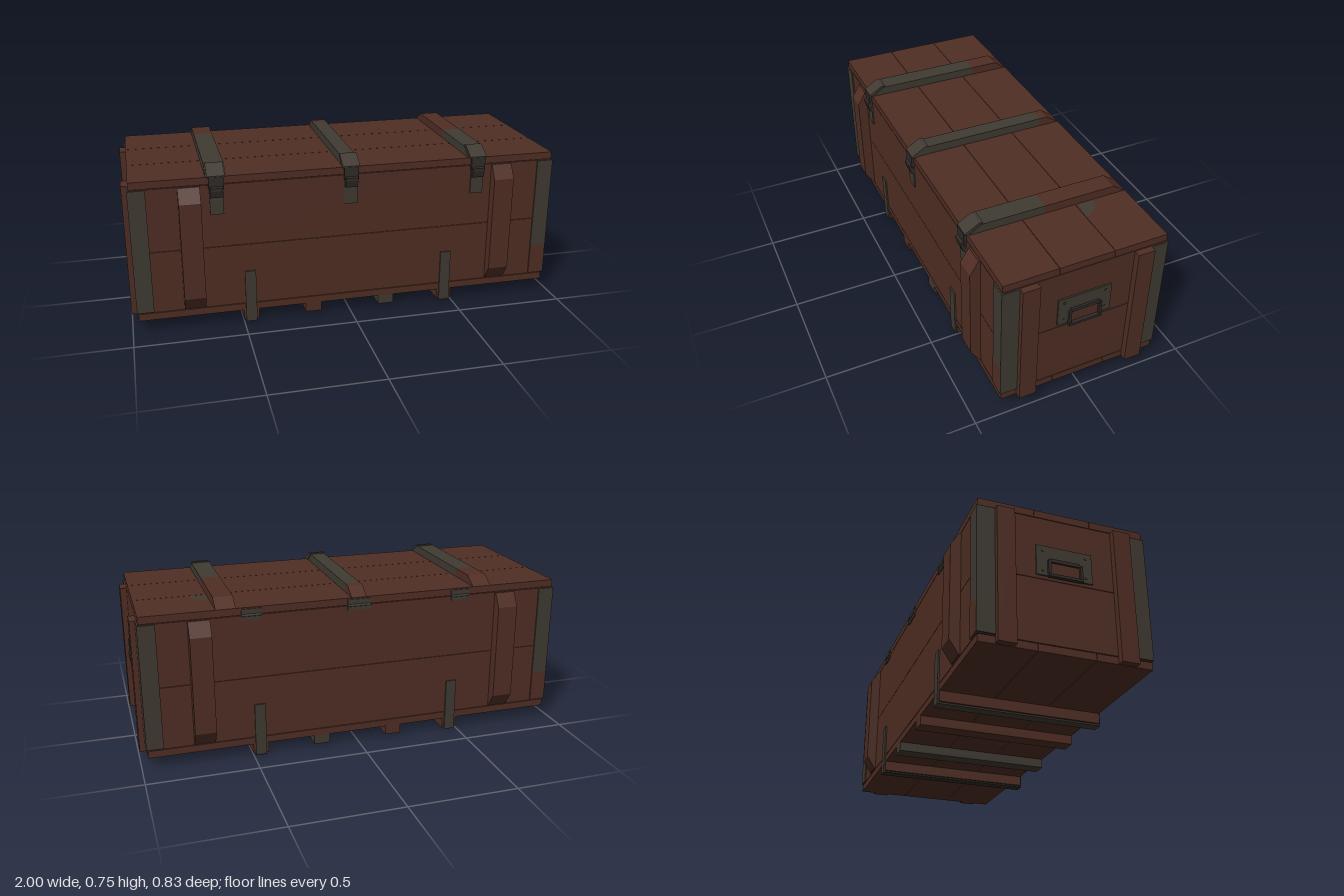
import * as THREE from 'three';

export function createModel() {
  const root = new THREE.Group();
  root.name = 'woodenCrate';
  const mat = (name, color) => {
    const m = new THREE.MeshStandardMaterial({ color });
    m.name = name;
    return m;
  };
  const wood = mat('brownPaintedWood', 0x502e24);
  const metal = mat('greyGreenSteel', 0x403a32);
  const dark = mat('darkSteel', 0x2f2b27);

  const add = (name, geo, m, parent = root) => {
    const mesh = new THREE.Mesh(geo, m);
    mesh.name = name;
    parent.add(mesh);
    return mesh;
  };
  // Box given by its limits on each axis
  const box = (name, m, [x0, x1], [y0, y1], [z0, z1], parent) => {
    const mesh = add(name, new THREE.BoxGeometry(Math.abs(x1 - x0), y1 - y0, Math.abs(z1 - z0)), m, parent);
    mesh.position.set((x0 + x1) / 2, (y0 + y1) / 2, (z0 + z1) / 2);
    return mesh;
  };
  // Profile of [z, y] points, extruded along x and centred at x
  const prism = (name, m, pts, width, x, parent) => {
    const shape = new THREE.Shape(pts.map(([z, y]) => new THREE.Vector2(z, y)));
    const geo = new THREE.ExtrudeGeometry(shape, { depth: width, bevelEnabled: false });
    geo.translate(0, 0, -width / 2).rotateY(-Math.PI / 2);
    const mesh = add(name, geo, m, parent);
    mesh.position.x = x;
    return mesh;
  };

  // Floor and lid, three planks each
  for (const [z0, z1] of [[-0.37, -0.1255], [-0.1235, 0.1235], [0.1255, 0.37]]) {
    box('floorPlank', wood, [-0.97, 0.97], [0.055, 0.088], [z0, z1]);
    box('lidPlank', wood, [-0.97, 0.97], [0.673, 0.706], [z0, z1]);
  }

  // Walls, two planks high, with fine seams
  for (const y of [[0.091, 0.379], [0.381, 0.67]]) {
    for (const s of [-1, 1]) {
      box('longWallPlank', wood, [-0.97, 0.97], y, [s * 0.335, s * 0.37]);
      box('endWallPlank', wood, [s * 0.935, s * 0.97], y, [-0.334, 0.334]);
    }
  }

  for (const sx of [-1, 1]) {
    for (const sz of [-1, 1]) {
      // Steel angle on each corner
      const worn = sx * sz > 0;
      const low = worn ? 0.24 : 0.095;
      box('cornerPlateEnd', metal, [sx * 0.969, sx * 0.976], [0.095, 0.668], [sz * 0.298, sz * 0.376]);
      box('cornerPlateSide', metal, [sx * 0.9, sx * 0.976], [low, 0.668], [sz * 0.369, sz * 0.376]);
      if (worn) box('cornerPlateWorn', wood, [sx * 0.9, sx * 0.976], [0.095, low], [sz * 0.369, sz * 0.376]);
      // Upright cleat on the end wall
      box('endCleat', wood, [sx * 0.97, sx], [0.057, 0.668], [sz * 0.22, sz * 0.298]);
      // Bevelled batten on the long wall
      const side = [[0.37, 0.095], [0.375, 0.095], [0.417, 0.16], [0.417, 0.605], [0.378, 0.668], [0.37, 0.668]];
      prism('wallBatten', wood, side.map(([z, y]) => [z * sz, y]), 0.095, sx * 0.718);
    }
    // Chipped paint on a cleat
    box('cleatWear', metal, [sx * 0.999, sx], [0.27, 0.34], [sx * -0.222, sx * -0.24]);
  }

  // Lid battens, grey paint worn to brown toward the back
  const lidBatten = (x, width, split) => {
    prism('lidBattenFront', metal, [[split, 0.705], [0.37, 0.705], [0.31, 0.745], [split, 0.745]], width, x);
    prism('lidBattenBack', wood, [[-0.37, 0.705], [split, 0.705], [split, 0.745], [-0.31, 0.745]], width, x);
  };
  lidBatten(-0.6, 0.088, -0.18);
  lidBatten(0, 0.07, -0.27);
  lidBatten(0.6, 0.088, 0.02);

  // Patch of bare paint on the lid
  const patch = new THREE.Shape([[0.65, 0.14], [0.74, 0.125], [0.7, 0.19], [0.65, 0.21]].map(p => new THREE.Vector2(...p)));
  add('lidWear', new THREE.ShapeGeometry(patch).rotateX(-Math.PI / 2), metal).position.y = 0.707;

  // Toggle latches on the front
  for (const x of [-0.6, 0, 0.6]) {
    const latch = new THREE.Group();
    latch.name = 'latch';
    latch.position.x = x;
    root.add(latch);
    prism('latchCap', metal, [[0.3, 0.742], [0.35, 0.705], [0.382, 0.705], [0.382, 0.712], [0.318, 0.75], [0.3, 0.75]], 0.078, 0, latch);
    box('latchPlate', metal, [-0.03, 0.03], [0.535, 0.668], [0.369, 0.376], latch);
    box('latchLoop', dark, [-0.033, 0.033], [0.65, 0.708], [0.372, 0.384], latch);
    prism('latchLever', dark, [[0.374, 0.615], [0.386, 0.615], [0.395, 0.645], [0.395, 0.66], [0.374, 0.668]], 0.056, 0, latch);
  }

  // Hinges on the back
  for (const x of [-0.49, 0, 0.49]) {
    const w = x === 0 ? 0.055 : 0.044;
    box('hingeLeaf', metal, [x - w, x + w], [0.65, 0.7], [-0.375, -0.369]);
    const pin = add('hingePin', new THREE.CylinderGeometry(0.006, 0.006, w * 2, 8).rotateZ(Math.PI / 2), metal);
    pin.position.set(x, 0.672, -0.374);
  }

  // Runners below the floor, the outer ones held by steel straps
  for (const s of [-1, 1]) {
    box('innerRunner', s < 0 ? wood : metal, [s * 0.138, s * 0.212], [0.012, 0.055], [-0.37, 0.37]);
    const x = s * 0.465;
    box('outerRunner', wood, [x - 0.035, x + 0.035], [0.007, 0.055], [-0.37, 0.37]);
    const m = s < 0 ? metal : dark;
    box('strapUnder', m, [x - 0.025, x + 0.025], [0, 0.008], [-0.377, 0.377]);
    for (const sz of [-1, 1]) {
      box('strapUpright', metal, [x - 0.025, x + 0.025], [0, 0.25], [sz * 0.369, sz * 0.377]);
    }
  }

  // Drop handles on both ends
  for (const s of [-1, 1]) {
    const handle = new THREE.Group();
    handle.name = 'dropHandle';
    root.add(handle);
    box('handlePlate', metal, [s * 0.969, s * 0.976], [0.396, 0.535], [-0.123, 0.123], handle);
    box('handleBracket', dark, [s * 0.975, s * 0.986], [0.458, 0.474], [-0.065, 0.065], handle);
    box('handleBacking', wood, [s * 0.975, s * 0.978], [0.398, 0.458], [-0.065, 0.065], handle);
    for (const z of [-0.07, 0.07]) box('handleArm', dark, [s * 0.978, s * 0.989], [0.39, 0.465], [z - 0.006, z + 0.006], handle);
    box('handleGrip', dark, [s * 0.978, s * 0.993], [0.388, 0.4], [-0.076, 0.076], handle);
    // Rivets at the plate corners
    for (const z of [-0.095, 0.095]) for (const y of [0.42, 0.512]) {
      const rivet = add('rivet', new THREE.CylinderGeometry(0.006, 0.006, 0.004, 8).rotateZ(Math.PI / 2), metal, handle);
      rivet.position.set(s * 0.977, y, z);
    }
  }
  return root;
}
